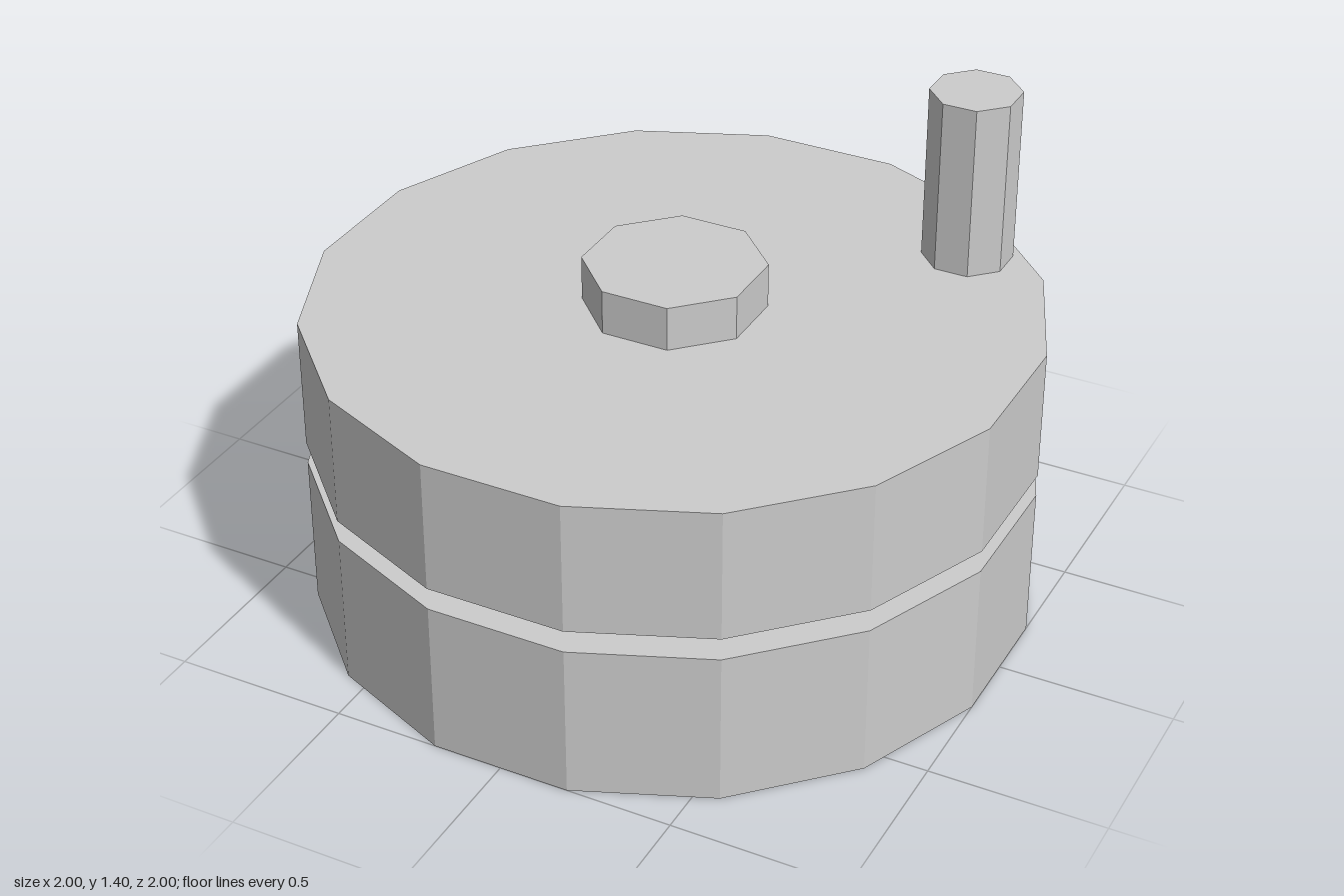
import * as THREE from 'three';

const material = new THREE.MeshStandardMaterial({ color: 0xcccccc, flatShading: true });

// Upright prism with a flat side facing front; apothem is centre to flat side
function prism(name, apothem, sides, y0, y1, x = 0, z = 0) {
  const radius = apothem / Math.cos(Math.PI / sides);
  const geometry = new THREE.CylinderGeometry(radius, radius, y1 - y0, sides);
  geometry.rotateY(Math.PI / sides);
  const mesh = new THREE.Mesh(geometry, material);
  mesh.name = name;
  mesh.position.set(x, (y0 + y1) / 2, z);
  return mesh;
}

export function createModel() {
  const model = new THREE.Group();
  model.name = 'millstone';
  model.add(
    // Two grinding stones with a narrow gap between them
    prism('lowerStone', 1, 16, 0, 0.448),
    prism('upperStone', 1, 16, 0.512, 0.892),
    // Axle through both stones
    prism('axle', 0.234, 8, 0.2, 1.02),
    // Turning handle near the rim at the back left
    prism('handle', 0.118, 8, 0.8, 1.4, 0.605, -0.606),
  );
  return model;
}
